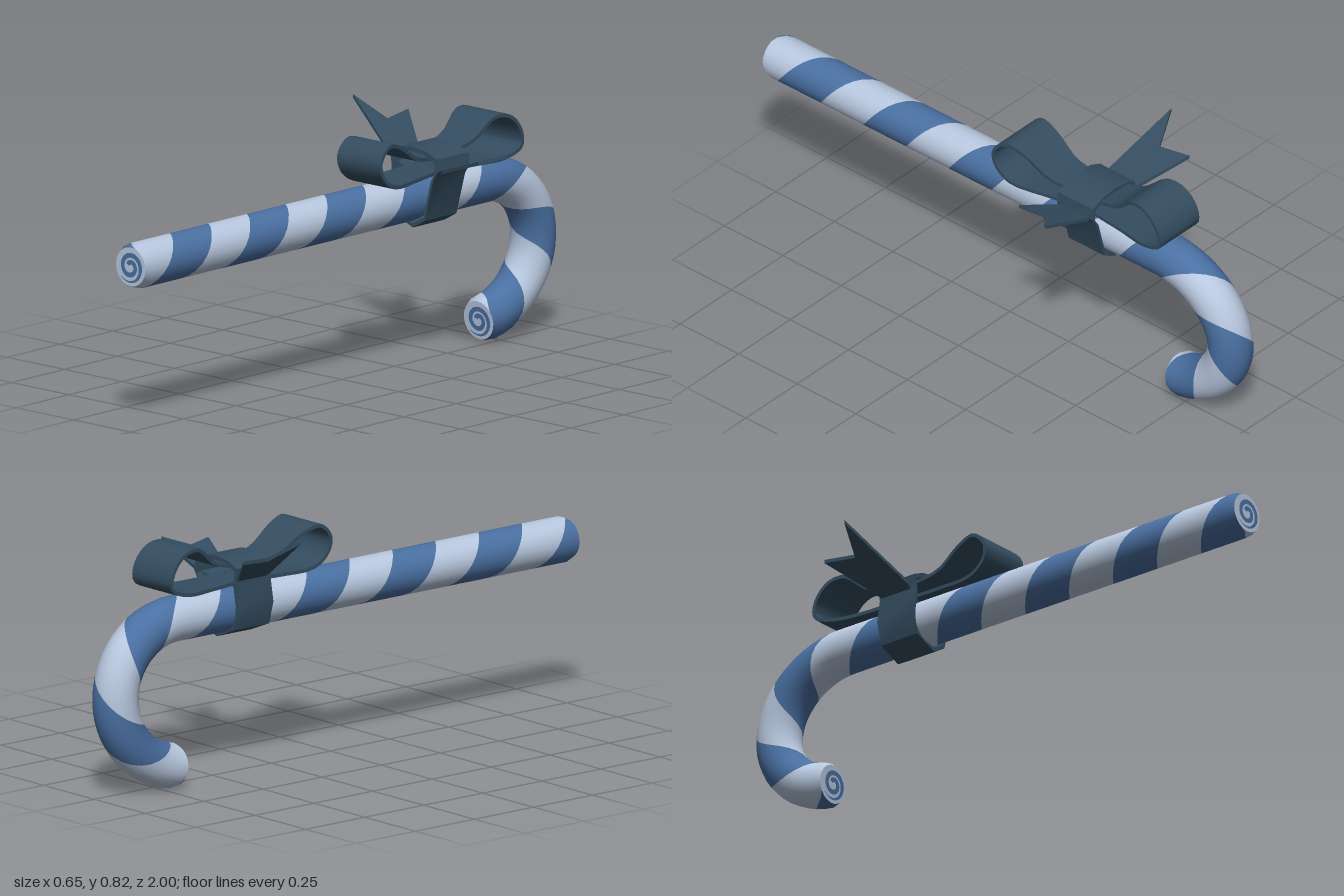
import * as THREE from 'three';
import { toCreasedNormals } from 'three/addons/utils/BufferGeometryUtils.js';

const mat = (name, color, side = THREE.FrontSide) => {
  const m = new THREE.MeshStandardMaterial({ color, side });
  m.name = name;
  return m;
};

const R = 0.075, STRAIGHT = 1.66, LENGTH = 2.425, PITCH = 0.365;

// Centre line of the cane: straight shaft, then a hook that leans to -x
function frame(s) {
  const a = Math.max(0, s - STRAIGHT) / 0.252;
  const z = s < STRAIGHT ? 1 - s : -0.66 - 0.265 * Math.sin(a);
  const y = 0.317 + 0.238 * Math.cos(a);
  return {
    c: new THREE.Vector3(-0.037 * (0.555 - y) / 0.475, y, z),
    n: new THREE.Vector3(0, Math.cos(a), -Math.sin(a)),
    t: new THREE.Vector3(0, -Math.sin(a), -Math.cos(a)),
  };
}

// One turn of a helical stripe, clipped to the ends of the cane
function stripeGeometry(k) {
  const NS = 6, NP = 20, pos = [], nor = [], idx = [];
  for (let j = 0; j <= NP; j++) {
    const phi = -Math.PI + (2 * Math.PI * j) / NP;
    const start = 0.19 + PITCH * (phi / (2 * Math.PI) + k / 2);
    for (let i = 0; i <= NS; i++) {
      const s = THREE.MathUtils.clamp(start + (PITCH / 2) * (i / NS), 0, LENGTH);
      const end = Math.min(s, LENGTH - s);
      const r = R - 0.011 * Math.max(0, 1 - end / 0.018);
      const { c, n } = frame(s);
      const d = n.multiplyScalar(Math.cos(phi));
      d.x -= Math.sin(phi);
      pos.push(c.x + d.x * r, c.y + d.y * r, c.z + d.z * r);
      nor.push(d.x, d.y, d.z);
      if (i < NS && j < NP) {
        const a = j * (NS + 1) + i, b = a + NS + 1;
        idx.push(a, a + 1, b, a + 1, b + 1, b);
      }
    }
  }
  const g = new THREE.BufferGeometry();
  g.setAttribute('position', new THREE.Float32BufferAttribute(pos, 3));
  g.setAttribute('normal', new THREE.Float32BufferAttribute(nor, 3));
  g.setIndex(idx);
  return g;
}

// Flat swirl drawn on the end discs
function swirlGeometry() {
  const outer = [], inner = [], N = 48;
  for (let i = 0; i <= N; i++) {
    const t = i / N, a = 2.6 - t * Math.PI * 3.6;
    const r = 0.012 + 0.041 * t, w = 0.008 * Math.min(1, (1 - t) * 4 + 0.1);
    outer.push(new THREE.Vector2(Math.cos(a) * (r + w), Math.sin(a) * (r + w)));
    inner.push(new THREE.Vector2(Math.cos(a) * (r - w), Math.sin(a) * (r - w)));
  }
  return new THREE.ShapeGeometry(new THREE.Shape([...outer, ...inner.reverse()]));
}

// Ribbon with thickness; points are [z, y, centre x, half width]
function ribbonGeometry(points) {
  const yz = new THREE.CatmullRomCurve3(points.map(p => new THREE.Vector3(0, p[1], p[0])));
  const xw = new THREE.CatmullRomCurve3(points.map(p => new THREE.Vector3(p[2], p[3], 0)));
  const N = 28, H = 0.006, pos = [], idx = [];
  for (let i = 0; i <= N; i++) {
    const p = yz.getPoint(i / N), t = yz.getTangent(i / N), q = xw.getPoint(i / N);
    for (const [sx, sn] of [[-1, -1], [1, -1], [1, 1], [-1, 1]]) {
      pos.push(q.x + sx * q.y, p.y + sn * H * t.z, p.z - sn * H * t.y);
    }
    if (i < N) for (let j = 0; j < 4; j++) {
      const a = i * 4 + j, b = i * 4 + ((j + 1) % 4);
      idx.push(a, b, b + 4, a, b + 4, a + 4);
    }
  }
  const g = new THREE.BufferGeometry();
  g.setAttribute('position', new THREE.Float32BufferAttribute(pos, 3));
  g.setIndex(idx);
  return toCreasedNormals(g, 0.7);
}

// Notched tail, outline in [x, z], rising away from the knot
function tailGeometry(outline, y0, slope) {
  const shape = new THREE.Shape(outline.map(([x, z]) => new THREE.Vector2(x, -z)));
  const g = new THREE.ExtrudeGeometry(shape, { depth: 0.012, bevelEnabled: false });
  g.rotateX(-Math.PI / 2);
  const p = g.attributes.position;
  for (let i = 0; i < p.count; i++) p.setY(i, p.getY(i) + y0 + slope * Math.abs(p.getX(i)));
  g.computeVertexNormals();
  return g;
}

export function createModel() {
  const model = new THREE.Group();
  const blue = mat('stripe blue', 0x4a70a2);
  const pale = mat('pale candy', 0xb8c8df);
  const navy = mat('ribbon navy', 0x344d60, THREE.DoubleSide);
  const add = (parent, name, geometry, material) => {
    const m = new THREE.Mesh(geometry, material);
    m.name = name;
    parent.add(m);
    return m;
  };

  // Striped cane
  const cane = new THREE.Group();
  cane.name = 'cane';
  model.add(cane);
  for (let k = -3; k <= 13; k++) {
    add(cane, k % 2 ? 'paleStripe' : 'blueStripe', stripeGeometry(k), k % 2 ? pale : blue);
  }

  // End discs with swirls
  for (const [name, s, dir] of [['shaftEnd', 0, -1], ['hookEnd', LENGTH, 1]]) {
    const { c, t } = frame(s), cap = new THREE.Group();
    cap.name = name;
    cap.position.copy(c);
    cap.lookAt(c.clone().addScaledVector(t, dir));
    add(cap, 'endDisc', new THREE.CircleGeometry(0.0645, 20), pale);
    add(cap, 'endSwirl', swirlGeometry(), blue).position.z = 0.002;
    model.add(cap);
  }

  // Bow
  const bow = new THREE.Group();
  bow.name = 'bow';
  model.add(bow);

  // Band around the shaft, closing in the knot on top
  const band = [[-0.08, 0.7], [-0.072, 0.65], [-0.086, 0.57], [-0.065, 0.495], [0.02, 0.46],
    [0.072, 0.49], [0.11, 0.63], [0.13, 0.66], [0.125, 0.7], [0.075, 0.72], [0.02, 0.726], [-0.035, 0.72]];
  const bandShape = new THREE.Shape(band.map(([x, y]) => new THREE.Vector2(x, y)));
  bandShape.holes.push(new THREE.Path(band.map(([x, y]) =>
    new THREE.Vector2(0.01 + (x - 0.01) * 0.89, 0.59 + (y - 0.59) * 0.9))));
  const bandGeo = new THREE.ExtrudeGeometry(bandShape, { depth: 0.15, bevelEnabled: false });
  bandGeo.translate(0, 0, -0.465);
  add(bow, 'knotBand', toCreasedNormals(bandGeo, 0.6), navy);

  // Two loops
  add(bow, 'frontLoop', ribbonGeometry([
    [-0.38, 0.645, 0.02, 0.06], [-0.24, 0.64, 0.03, 0.075], [-0.11, 0.645, 0.04, 0.09],
    [-0.055, 0.685, 0.04, 0.093], [-0.045, 0.735, 0.038, 0.094], [-0.09, 0.78, 0.035, 0.092],
    [-0.16, 0.762, 0.032, 0.082], [-0.25, 0.708, 0.03, 0.07], [-0.38, 0.69, 0.02, 0.06]]), navy);
  add(bow, 'backLoop', ribbonGeometry([
    [-0.39, 0.645, 0.02, 0.06], [-0.54, 0.64, 0.018, 0.07], [-0.66, 0.643, 0.018, 0.088],
    [-0.732, 0.672, 0.018, 0.094], [-0.728, 0.725, 0.018, 0.095], [-0.68, 0.777, 0.018, 0.093],
    [-0.615, 0.784, 0.018, 0.085], [-0.53, 0.722, 0.02, 0.07], [-0.39, 0.69, 0.02, 0.06]]), navy);

  // Two notched tails
  add(bow, 'rightTail', tailGeometry([[0, -0.35], [-0.09, -0.335], [-0.325, -0.405],
    [-0.215, -0.45], [-0.23, -0.565], [-0.09, -0.465], [0, -0.42]], 0.61, 0.64), navy);
  add(bow, 'leftTail', tailGeometry([[0.04, -0.42], [0.13, -0.45], [0.325, -0.435],
    [0.255, -0.37], [0.275, -0.28], [0.13, -0.335], [0.04, -0.36]], 0.605, 0.345), navy);

  return model;
}
